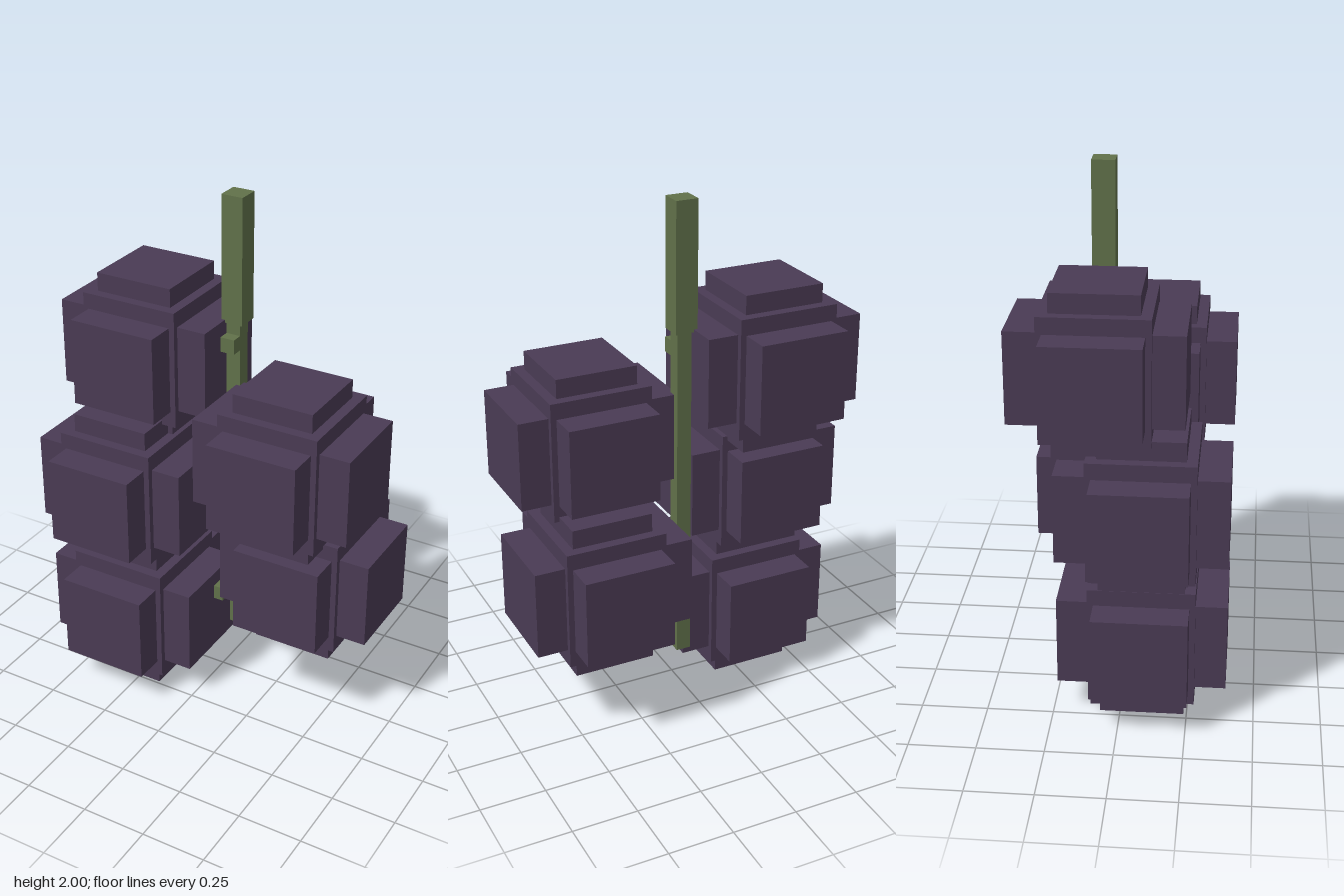
import * as THREE from 'three';

export function createModel() {
  const model = new THREE.Group();
  model.name = 'berryCluster';
  const berrySkin = new THREE.MeshStandardMaterial({ color: 0x4a3b54 });
  berrySkin.name = 'dark purple';
  const stemGreen = new THREE.MeshStandardMaterial({ color: 0x61714a });
  stemGreen.name = 'stem green';

  const box = (parent, name, material, size, pos) => {
    const mesh = new THREE.Mesh(new THREE.BoxGeometry(...size), material);
    mesh.name = name;
    mesh.position.set(...pos);
    parent.add(mesh);
  };

  // Stem: thick upper stalk and thin lower stalk
  box(model, 'upperStem', stemGreen, [0.086, 0.49, 0.086], [0.006, 1.755, -0.094]);
  box(model, 'lowerStem', stemGreen, [0.057, 1.335, 0.057], [0.007, 0.8425, -0.092]);

  // Berry centres, alternating sides from the top down
  const berries = [
    [-0.335, 1.35, -0.081],
    [0.333, 1.09, 0.081],
    [-0.355, 0.828, 0.081],
    [0.353, 0.57, -0.081],
    [-0.317, 0.306, 0.081],
  ];

  berries.forEach(([x, y, z], i) => {
    // Blocky berry: a core with raised plates on all six sides
    const berry = new THREE.Group();
    berry.name = `berry${i + 1}`;
    berry.position.set(x, y, z);
    box(berry, 'core', berrySkin, [0.394, 0.466, 0.394], [0, 0, 0]);
    for (const s of [-1, 1]) {
      box(berry, 'sidePlate', berrySkin, [0.118, 0.342, 0.35], [s * 0.254, 0, 0]);
      box(berry, 'facePlate', berrySkin, [0.35, 0.342, 0.118], [0, 0, s * 0.254]);
      box(berry, 'capPlate', berrySkin, [0.315, 0.075, 0.315], [0, s * 0.268, 0]);
    }
    model.add(berry);

    // Short twig running from the stem line into the berry
    const inner = x < 0 ? 0.035 : -0.021;
    const outer = x * 0.6;
    box(model, `twig${i + 1}`, stemGreen, [Math.abs(inner - outer), 0.058, 0.057],
      [(inner + outer) / 2, y + 0.085, z < 0 ? -0.047 : 0.037]);
  });

  return model;
}
